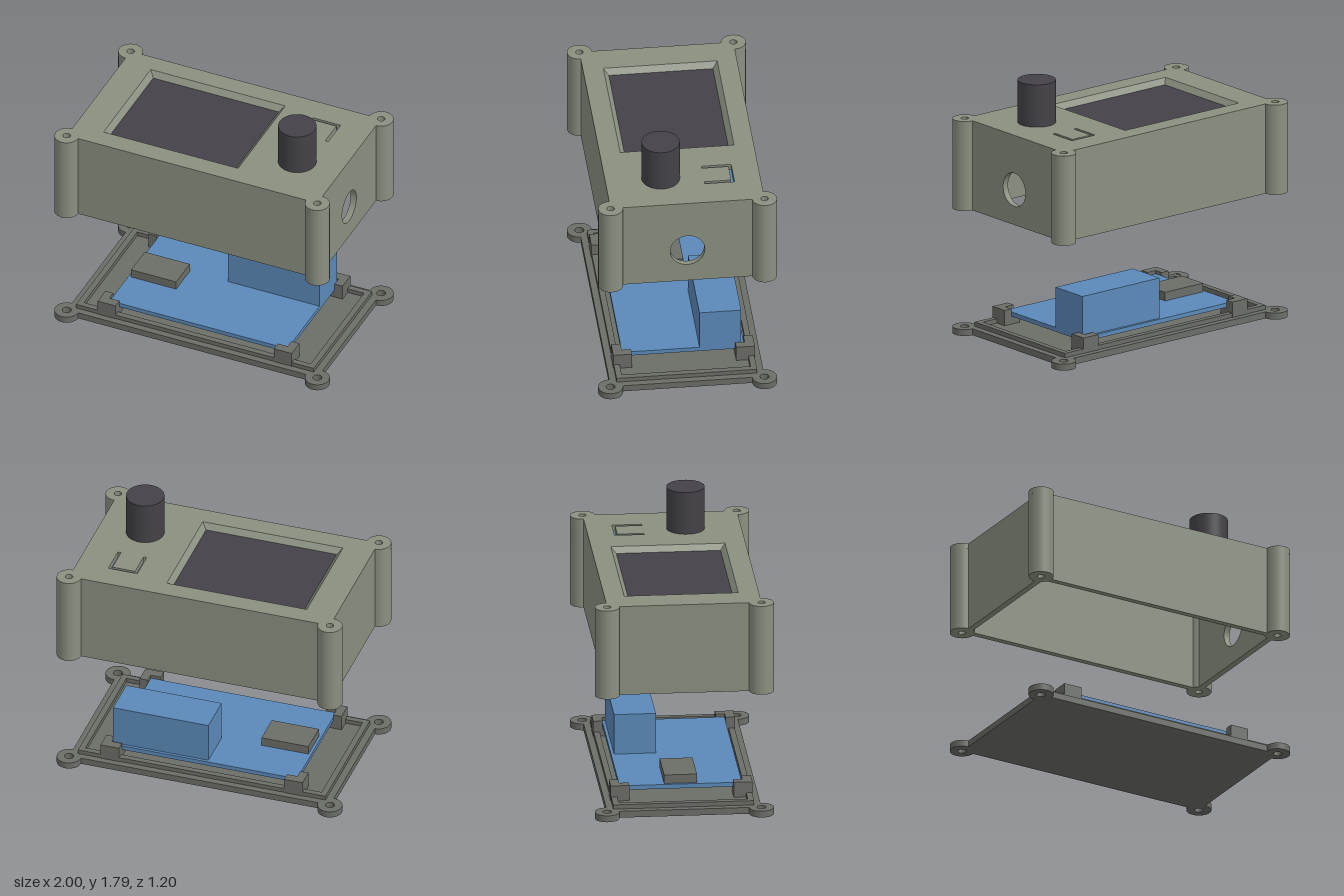
import * as THREE from 'three';

// Half spacing of the four corner screws, boss radius
const HX = 0.917, HZ = 0.517, BOSS = 0.083;

export function createModel() {
  const root = new THREE.Group();
  const mat = (name, color) => {
    const m = new THREE.MeshStandardMaterial({ color });
    m.name = name;
    return m;
  };
  const olive = mat('olive shell', 0x8a9080);
  const grey = mat('dark grey base', 0x6b6d67);
  const dark = mat('charcoal', 0x444248);
  const blue = mat('board blue', 0x5b89b9);

  const add = (name, geo, material, parent = root) => {
    const m = new THREE.Mesh(geo, material);
    m.name = name;
    parent.add(m);
    return m;
  };
  // Box given by its limits on each axis
  const box = (name, material, x0, x1, y0, y1, z0, z1, parent) => {
    const m = add(name, new THREE.BoxGeometry(x1 - x0, y1 - y0, z1 - z0), material, parent);
    m.position.set((x0 + x1) / 2, (y0 + y1) / 2, (z0 + z1) / 2);
    return m;
  };
  const group = (name) => {
    const g = new THREE.Group();
    g.name = name;
    root.add(g);
    return g;
  };
  // Plan shapes use (x, -z); extrude upward from y0 to y1
  const slab = (shape, y0, y1) =>
    new THREE.ExtrudeGeometry(shape, { depth: y1 - y0, bevelEnabled: false, curveSegments: 32 })
      .rotateX(-Math.PI / 2).translate(0, y0, 0);
  const poly = (pts) => new THREE.Path(pts.map(([x, z]) => new THREE.Vector2(x, -z)));
  const rect = (x0, x1, z0, z1) => poly([[x0, z0], [x0, z1], [x1, z1], [x1, z0]]);
  const circle = (x, z, r) => new THREE.Path().absarc(x, -z, r, 0, Math.PI * 2, true);
  const corners = [[1, 1], [-1, 1], [-1, -1], [1, -1]];

  // Rectangle with a round screw ear on each corner
  const earedPlate = (holeR) => {
    const s = new THREE.Shape();
    corners.forEach(([sx, sy], k) => {
      const a = k * Math.PI / 2;
      s.absarc(sx * HX, sy * HZ, BOSS, a - Math.PI / 2, a + Math.PI, false);
    });
    s.closePath();
    for (const [sx, sz] of corners) s.holes.push(circle(sx * HX, sz * HZ, holeR));
    return s;
  };

  // ---- Base ----
  const base = group('base');
  add('basePlate', slab(earedPlate(0.03), 0, 0.045), grey, base);
  const lip = new THREE.Shape(rect(-0.87, 0.87, -0.472, 0.472).getPoints());
  lip.holes.push(rect(-0.83, 0.83, -0.432, 0.432));
  add('baseLip', slab(lip, 0.045, 0.075), grey, base);

  // L-shaped clips with a shelf under the board
  for (const [sx, sz] of corners) {
    const p = (x, z) => [sx * x, sz * z];
    const clip = new THREE.Shape(poly([
      p(0.58, 0.475), p(0.71, 0.475), p(0.71, 0.35), p(0.652, 0.35), p(0.652, 0.412), p(0.58, 0.412),
    ]).getPoints());
    add('boardClip', slab(clip, 0.045, 0.152), grey, base);
    const xs = [sx * 0.58, sx * 0.66].sort((a, b) => a - b);
    const zs = [sz * 0.35, sz * 0.42].sort((a, b) => a - b);
    box('clipShelf', grey, xs[0], xs[1], 0.045, 0.1, zs[0], zs[1], base);
  }

  // ---- Main circuit board ----
  const main = group('mainBoard');
  box('circuitBoard', blue, -0.65, 0.65, 0.1, 0.13, -0.41, 0.41, main);
  box('terminalBlock', blue, -0.02, 0.65, 0.13, 0.41, -0.39, -0.11, main);
  box('chip', grey, -0.63, -0.3, 0.13, 0.19, -0.11, 0.11, main);

  // ---- Cover ----
  const cover = group('cover');
  const y0 = 0.87, yLid = 1.455, y1 = 1.495, wall = 0.042;
  const win = [-0.71, 0.275, -0.385, 0.38];

  // Lid with window and U-shaped button slot
  const lid = earedPlate(0.025);
  lid.holes.push(rect(...win));
  lid.holes.push(poly([
    [0.497, -0.14], [0.497, -0.34], [0.7, -0.34], [0.7, -0.14],
    [0.678, -0.14], [0.678, -0.32], [0.519, -0.32], [0.519, -0.14],
  ]));
  add('lid', slab(lid, yLid, y1), olive, cover);

  // Sloping frame inside the window
  const loop = (d, y) => {
    const [a, b, c, e] = [win[0] + d, win[1] - d, win[2] + d, win[3] - d];
    return [[a, y, c], [a, y, e], [b, y, e], [b, y, c]];
  };
  const top = loop(0, y1), low = loop(0.035, yLid), tris = [];
  for (let i = 0; i < 4; i++) {
    const j = (i + 1) % 4;
    tris.push(...top[i], ...low[j], ...low[i], ...top[i], ...top[j], ...low[j]);
  }
  const bevel = new THREE.BufferGeometry();
  bevel.setAttribute('position', new THREE.Float32BufferAttribute(tris, 3));
  bevel.computeVertexNormals();
  add('windowBevel', bevel, olive, cover);

  // Hollow corner bosses
  for (const [sx, sz] of corners) {
    const tube = new THREE.LatheGeometry(
      [[0.025, yLid], [0.025, y0]].map(([r, y]) => new THREE.Vector2(r, y)), 32);
    const ring = new THREE.RingGeometry(0.025, BOSS, 32).rotateX(Math.PI / 2).translate(0, y0, 0);
    const skin = new THREE.CylinderGeometry(BOSS, BOSS, yLid - y0, 32, 1, true)
      .translate(0, (y0 + yLid) / 2, 0);
    const boss = new THREE.Group();
    boss.name = 'cornerBoss';
    add('bossBore', tube, olive, boss);
    add('bossEnd', ring, olive, boss);
    add('bossSkin', skin, olive, boss);
    boss.position.set(sx * HX, 0, sz * HZ);
    cover.add(boss);
  }

  // Walls between the bosses; the left wall has a round cable hole
  const lx = HX - 0.05, lz = HZ - 0.05;
  box('frontWall', olive, -lx, lx, y0, yLid, HZ - wall, HZ, cover);
  box('backWall', olive, -lx, lx, y0, yLid, -HZ, -HZ + wall, cover);
  box('rightWall', olive, -HX, -HX + wall, y0, yLid, -lz, lz, cover);
  const side = new THREE.Shape([[-lz, y0], [lz, y0], [lz, yLid], [-lz, yLid]]
    .map(([x, y]) => new THREE.Vector2(x, y)));
  side.holes.push(new THREE.Path().absarc(0, 1.115, 0.116, 0, Math.PI * 2, true));
  const sideGeo = new THREE.ExtrudeGeometry(side, { depth: wall, bevelEnabled: false, curveSegments: 32 })
    .rotateY(Math.PI / 2).translate(HX - wall, 0, 0);
  add('leftWall', sideGeo, olive, cover);

  // ---- Display and knob ----
  const panel = group('displayPanel');
  box('displayBoard', blue, -HX + wall, HX - wall, 1.412, 1.453, -HZ + wall, HZ - wall, panel);
  box('screen', dark, win[0] + 0.03, win[1] - 0.03, 1.45, 1.457, win[2] + 0.03, win[3] - 0.03, panel);
  add('knob', new THREE.CylinderGeometry(0.128, 0.128, 0.335, 48), dark, panel)
    .position.set(0.602, 1.6225, 0.145);

  return root;
}
